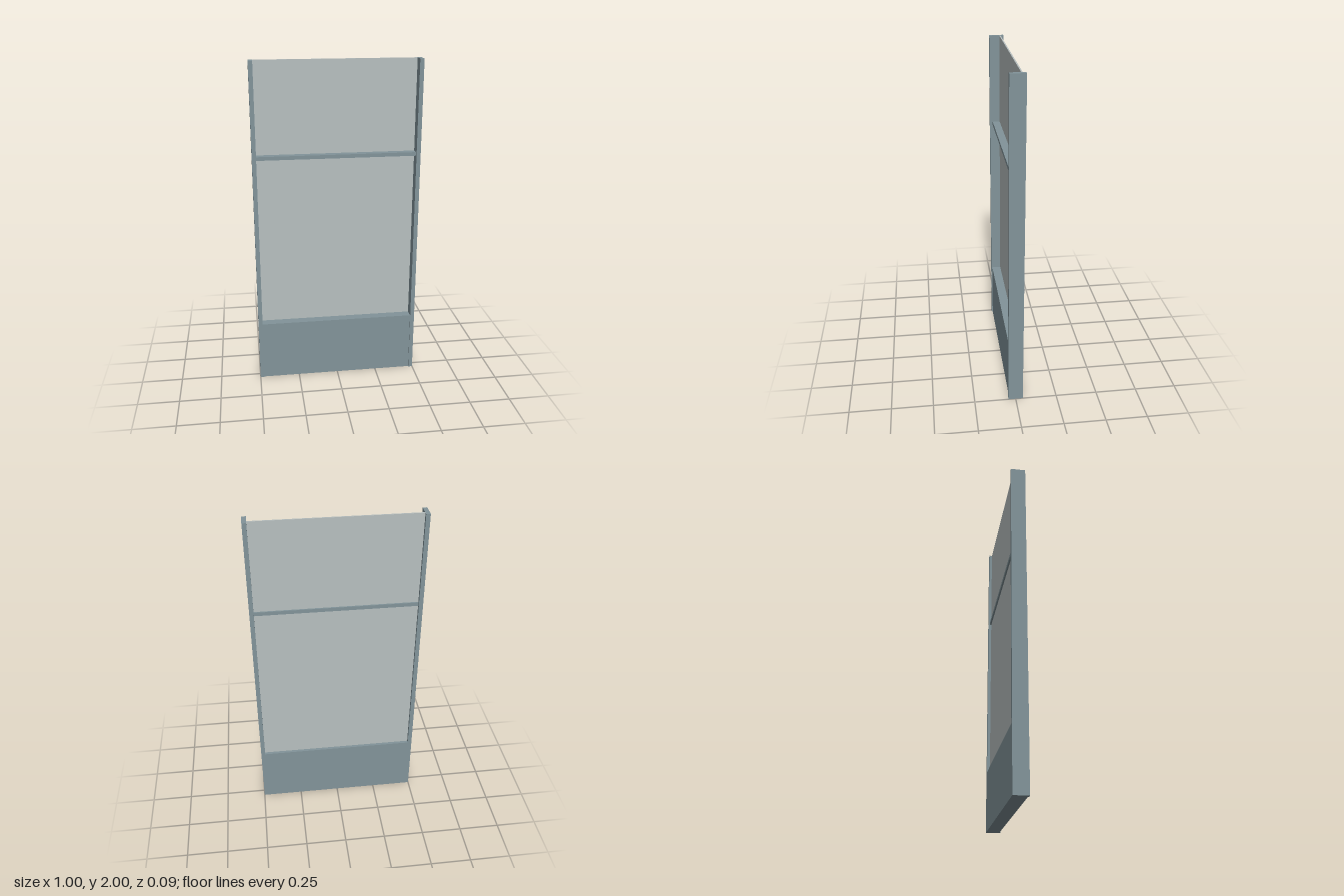
import * as THREE from 'three';

export function createModel() {
  const group = new THREE.Group();
  const frame = new THREE.MeshStandardMaterial({ name: 'greyBlueFrame', color: 0x82949a });
  const pane = new THREE.MeshStandardMaterial({ name: 'paleGlass', color: 0xb8c0c0 });

  // Box given by its lower and upper corners
  const box = (name, material, [x0, y0, z0], [x1, y1, z1]) => {
    const mesh = new THREE.Mesh(new THREE.BoxGeometry(x1 - x0, y1 - y0, z1 - z0), material);
    mesh.position.set((x0 + x1) / 2, (y0 + y1) / 2, (z0 + z1) / 2);
    mesh.name = name;
    group.add(mesh);
  };

  const inner = 0.475;

  // Side posts
  box('leftPost', frame, [inner, 0, -0.044], [0.5, 2, 0.044]);
  box('rightPost', frame, [-0.5, 0, -0.044], [-inner, 2, 0.044]);

  // Solid lower panel and the slim crossbar
  box('lowerPanel', frame, [-inner, 0, -0.044], [inner, 0.375, 0.038]);
  box('crossbar', frame, [-inner, 1.43, -0.035], [inner, 1.452, 0.027]);

  // Panes below and above the crossbar
  box('lowerPane', pane, [-inner, 0.375, -0.026], [inner, 1.43, -0.018]);
  box('upperPane', pane, [-inner, 1.452, -0.026], [inner, 2, -0.018]);

  return group;
}
